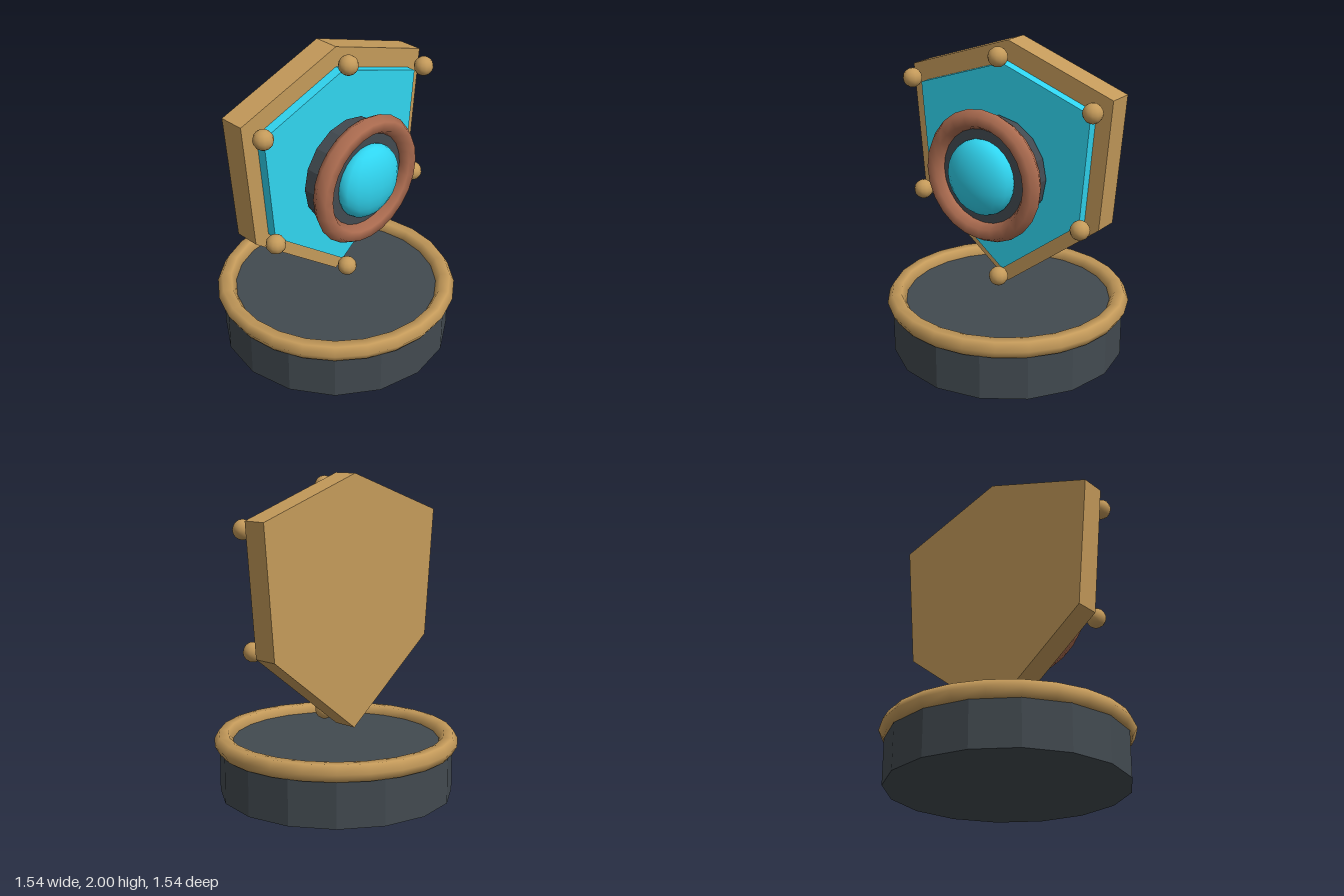
import * as THREE from 'three';

const mat = (color, flatShading = false) => new THREE.MeshStandardMaterial({ color, flatShading });

export function createModel() {
  const model = new THREE.Group();
  const gold = mat(0xc49a5a), goldFlat = mat(0xc49a5a, true);
  const cyan = mat(0x30d5f0), cyanFlat = mat(0x30d5f0, true);
  const dark = mat(0x424a50, true), copper = mat(0xac6c50);

  const add = (name, geometry, material, x = 0, y = 0, z = 0) => {
    const mesh = new THREE.Mesh(geometry, material);
    mesh.name = name;
    mesh.position.set(x, y, z);
    model.add(mesh);
    return mesh;
  };

  // Six-cornered shield slab, mirrored about x = 0, extruded forward from z
  const slab = (name, top, shoulder, hip, tip, z, depth, material) => {
    const shape = new THREE.Shape([
      [0, top], shoulder, hip, [0, tip], [-hip[0], hip[1]], [-shoulder[0], shoulder[1]],
    ].map(([x, y]) => new THREE.Vector2(x, y)));
    add(name, new THREE.ExtrudeGeometry(shape, { depth, bevelEnabled: false }), material, 0, 0, z);
  };

  // Pedestal with its rim
  add('pedestal', new THREE.CylinderGeometry(0.735, 0.735, 0.335, 16), dark, 0, 0.1675, 0);
  add('pedestalRim', new THREE.TorusGeometry(0.71, 0.06, 6, 24).rotateX(Math.PI / 2), gold, 0, 0.335, 0);

  // Floating shield: backing and raised face
  slab('shieldBacking', 2, [0.732, 1.75], [0.66, 0.94], 0.435, -0.16, 0.16, goldFlat);
  slab('shieldFace', 1.873, [0.622, 1.66], [0.561, 0.97], 0.542, 0, 0.062, cyanFlat);

  // Rivets at the corners
  const rivet = new THREE.SphereGeometry(0.061, 12, 8);
  for (const [x, y] of [[0, 1.918], [0.66, 1.69], [0.594, 0.962], [0, 0.506], [-0.594, 0.962], [-0.66, 1.69]]) {
    add('rivet', rivet, gold, x, y, 0.102);
  }

  // Central boss: drum, ring and domed gem
  add('bossDrum', new THREE.CylinderGeometry(0.34, 0.34, 0.17, 16).rotateX(Math.PI / 2), dark, 0, 1.218, 0.17);
  add('bossRing', new THREE.TorusGeometry(0.355, 0.06, 6, 24), copper, 0, 1.218, 0.255);
  add('bossGem', new THREE.SphereGeometry(0.236, 16, 12), cyan, 0, 1.218, 0.272).scale.z = 0.5;

  return model;
}
